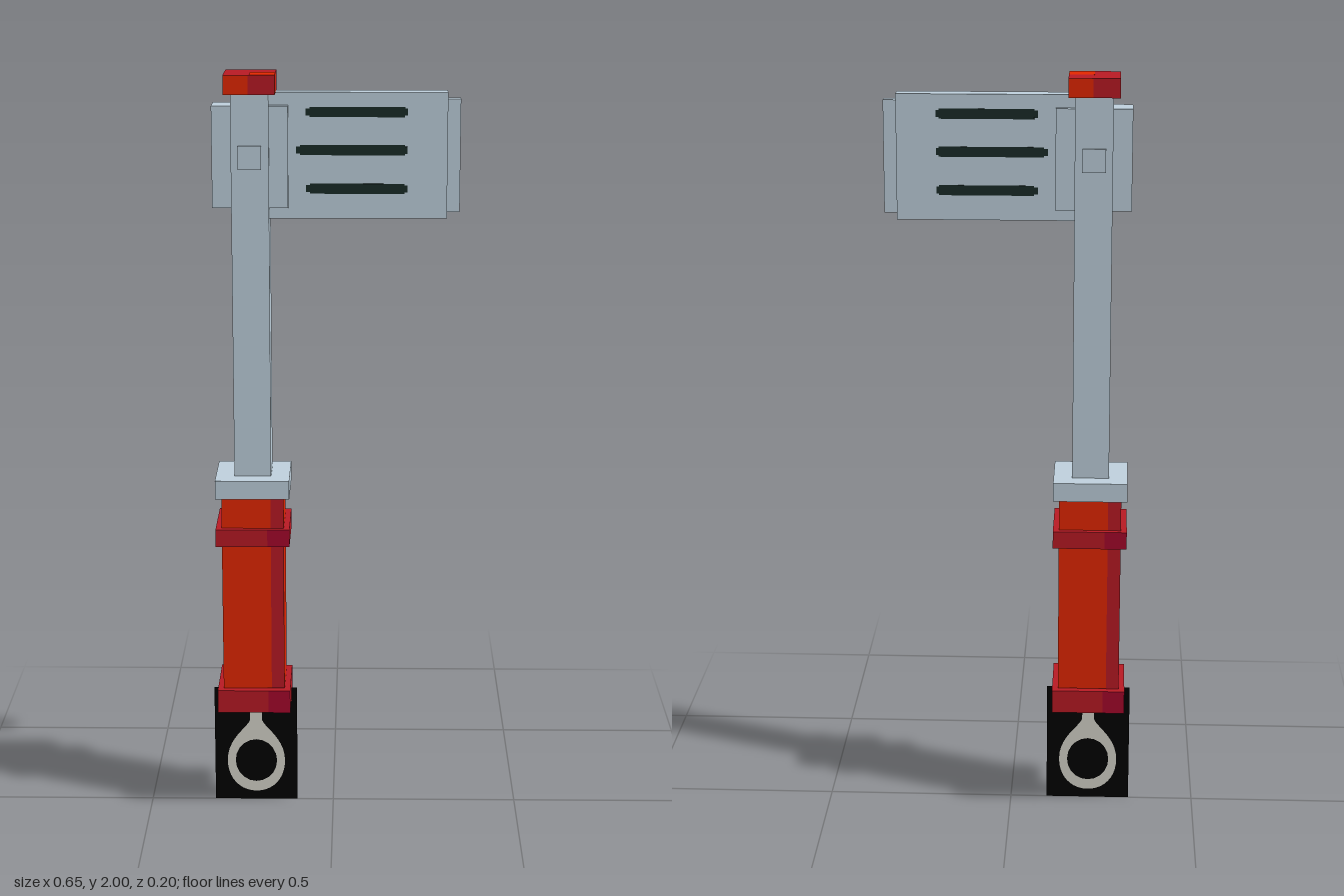
import * as THREE from 'three';

const mat = (name, color, side = THREE.FrontSide) => {
  const m = new THREE.MeshStandardMaterial({ color, side });
  m.name = name;
  return m;
};

export function createModel() {
  const steel = mat('pale steel', 0xbfd1dd);
  const orange = mat('orange red', 0xe52700);
  const crimson = mat('crimson', 0xb91a24);
  const wine = mat('dark crimson', 0xa6052b);
  const slotDark = mat('slot dark', 0x1a2b28);
  const black = mat('black', 0x000000, THREE.DoubleSide);
  const bone = mat('bone grey', 0xd6d5cb, THREE.DoubleSide);

  const model = new THREE.Group();
  const AXIS = -0.2122; // x of the shaft

  const add = (parent, name, geometry, material, x = 0, y = 0, z = 0) => {
    const mesh = new THREE.Mesh(geometry, material);
    mesh.name = name;
    mesh.position.set(x, y, z);
    parent.add(mesh);
    return mesh;
  };

  // Box given by its x and y ranges and its depth, centred on z = 0
  const box = (name, x0, x1, y0, y1, depth, material) =>
    add(model, name, new THREE.BoxGeometry(x1 - x0, y1 - y0, depth), material, (x0 + x1) / 2, (y0 + y1) / 2);

  // Square section whose four sides each carry two colours, split at a fraction of the width
  const twoToneBlock = (name, width, y0, y1, split, leftMat, rightMat, endMat) => {
    const group = new THREE.Group();
    group.name = name;
    group.position.set(AXIS, (y0 + y1) / 2, 0);
    const h = y1 - y0, half = width / 2, wl = width * split, wr = width - wl;
    for (let i = 0; i < 4; i++) {
      const side = new THREE.Group();
      side.name = name + 'Side';
      side.rotation.y = i * Math.PI / 2;
      add(side, 'leftPanel', new THREE.PlaneGeometry(wl, h), leftMat, -half + wl / 2, 0, half);
      add(side, 'rightPanel', new THREE.PlaneGeometry(wr, h), rightMat, half - wr / 2, 0, half);
      group.add(side);
    }
    for (const s of [1, -1])
      add(group, s > 0 ? 'topFace' : 'bottomFace', new THREE.PlaneGeometry(width, width), endMat, 0, s * h / 2, 0)
        .rotation.x = -s * Math.PI / 2;
    model.add(group);
    return group;
  };

  // Grip with its bands
  twoToneBlock('grip', 0.164, 0.36, 0.9, 0.79, orange, crimson, crimson);
  twoToneBlock('pommel', 0.195, 0.295, 0.358, 0.7, crimson, wine, crimson);
  twoToneBlock('gripBand', 0.195, 0.765, 0.812, 0.7, crimson, wine, crimson);
  add(model, 'collar', new THREE.BoxGeometry(0.195, 0.05, 0.195), steel, AXIS, 0.921, 0);

  // Shaft and cap
  add(model, 'shaft', new THREE.BoxGeometry(0.097, 1.018, 0.097), steel, AXIS, 1.446, 0);
  const cap = twoToneBlock('cap', 0.131, 1.951, 2, 0.48, orange, crimson, crimson);
  add(cap, 'capCorner', new THREE.BoxGeometry(0.065, 0.001, 0.065), orange, 0.033, 0.0245, 0.033);

  // Blade head
  box('bladeSocket', -0.31, -0.115, 1.659, 1.92, 0.08, steel);
  box('blade', AXIS, 0.292, 1.63, 1.953, 0.047, steel);
  box('bladeEdge', 0.285, 0.325, 1.646, 1.936, 0.031, steel);
  box('rivet', -0.243, -0.183, 1.76, 1.82, 0.112, steel);

  // Slots on both faces of the blade, with stepped ends
  for (const [y, x0] of [[1.903, -0.07], [1.806, -0.095], [1.707, -0.07]]) {
    box('slot', x0 + 0.01, 0.183, y - 0.013, y + 0.013, 0.0484, slotDark);
    box('slotEnds', x0, 0.19, y - 0.009, y + 0.009, 0.048, slotDark);
  }

  // Hanging tag with a loop emblem on both faces
  add(model, 'tag', new THREE.PlaneGeometry(0.226, 0.33), black, AXIS, 0.165);
  const loop = new THREE.Shape();
  loop.moveTo(-0.016, 0.3);
  loop.lineTo(-0.016, 0.235);
  loop.bezierCurveTo(-0.025, 0.21, -0.079, 0.18, -0.079, 0.115);
  loop.bezierCurveTo(-0.079, 0.06, -0.045, 0.024, 0, 0.024);
  loop.bezierCurveTo(0.045, 0.024, 0.079, 0.06, 0.079, 0.115);
  loop.bezierCurveTo(0.079, 0.18, 0.025, 0.21, 0.016, 0.235);
  loop.lineTo(0.016, 0.3);
  loop.holes.push(new THREE.Path().absellipse(0, 0.115, 0.057, 0.062, 0, Math.PI * 2, true));
  const loopGeometry = new THREE.ShapeGeometry(loop, 10);
  for (const z of [0.001, -0.001]) add(model, 'tagLoop', loopGeometry, bone, AXIS, 0, z);

  return model;
}
